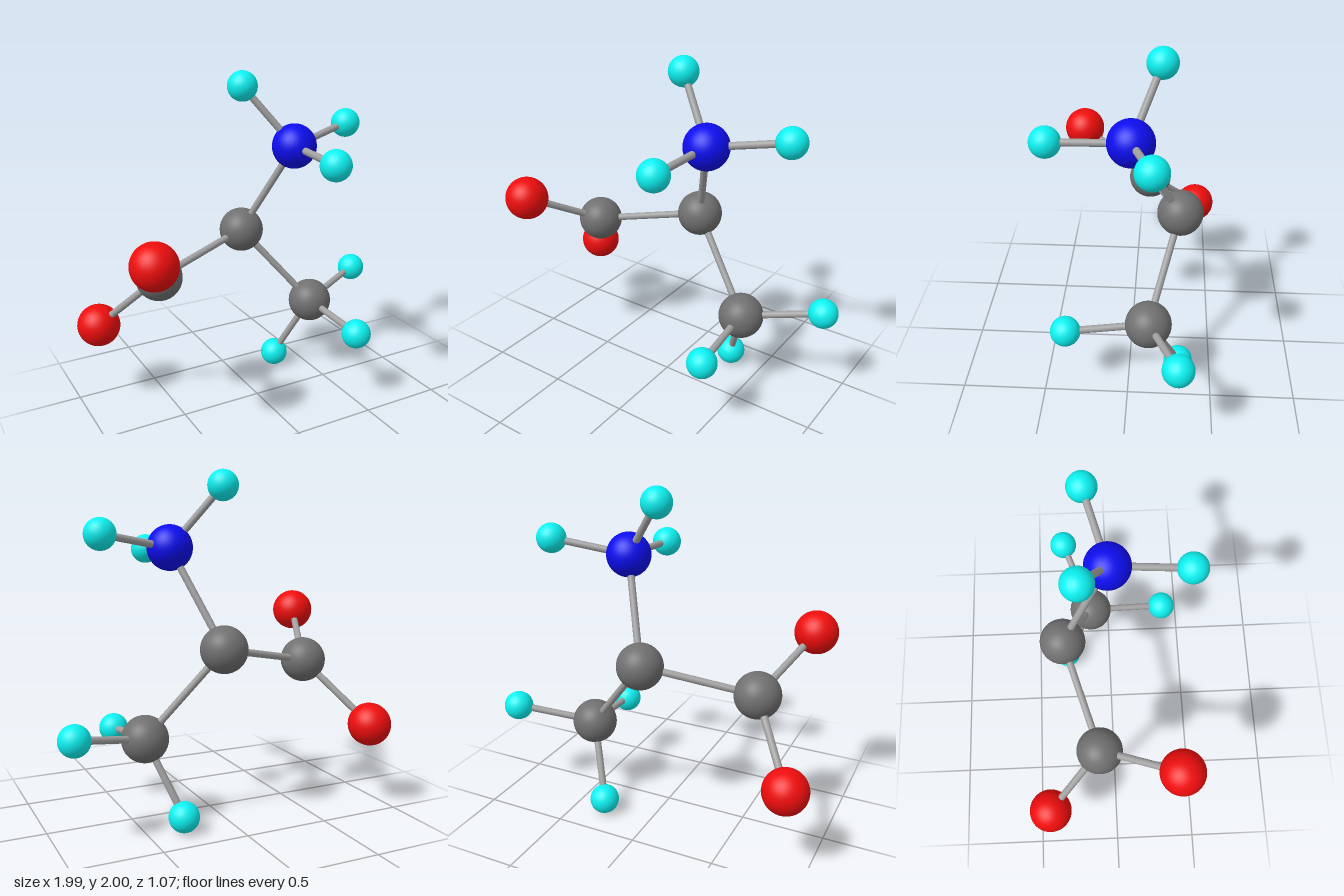
import * as THREE from 'three';

// Atom kinds: radius and colour
const KINDS = {
  carbon: { radius: 0.135, color: 0x707070 },
  nitrogen: { radius: 0.131, color: 0x0d0dee },
  oxygen: { radius: 0.128, color: 0xee0d0d },
  hydrogen: { radius: 0.088, color: 0x0df0f0 },
};

// name: [kind, position, atom it is bonded to]
const ATOMS = {
  centralCarbon: ['carbon', [0.045, 1.015, -0.287], null],
  nitrogen: ['nitrogen', [0.253, 1.572, -0.01], 'centralCarbon'],
  carboxylCarbon: ['carbon', [-0.59, 0.883, -0.093], 'centralCarbon'],
  methylCarbon: ['carbon', [0.457, 0.511, -0.12], 'centralCarbon'],
  upperOxygen: ['oxygen', [-0.783, 1.138, 0.355], 'carboxylCarbon'],
  lowerOxygen: ['oxygen', [-0.87, 0.516, -0.408], 'carboxylCarbon'],
  amineHydrogenTop: ['hydrogen', [-0.005, 1.916, -0.165], 'nitrogen'],
  amineHydrogenSide: ['hydrogen', [0.697, 1.651, -0.133], 'nitrogen'],
  amineHydrogenFront: ['hydrogen', [0.231, 1.555, 0.449], 'nitrogen'],
  methylHydrogenSide: ['hydrogen', [0.905, 0.599, -0.291], 'methylCarbon'],
  methylHydrogenFront: ['hydrogen', [0.487, 0.463, 0.359], 'methylCarbon'],
  methylHydrogenBottom: ['hydrogen', [0.298, 0.09, -0.302], 'methylCarbon'],
};

const BOND_RADIUS = 0.021;
const UP = new THREE.Vector3(0, 1, 0);

// Cylinder running between two points
function makeBond(from, to, material) {
  const along = to.clone().sub(from);
  const geometry = new THREE.CylinderGeometry(BOND_RADIUS, BOND_RADIUS, along.length(), 24);
  const bond = new THREE.Mesh(geometry, material);
  bond.position.copy(from).addScaledVector(along, 0.5);
  bond.quaternion.setFromUnitVectors(UP, along.normalize());
  return bond;
}

export function createModel() {
  const model = new THREE.Group();
  model.name = 'molecule';

  // One shared sphere and material per kind of atom
  const looks = {};
  for (const [kind, { radius, color }] of Object.entries(KINDS)) {
    looks[kind] = {
      geometry: new THREE.SphereGeometry(radius, 48, 32),
      material: new THREE.MeshStandardMaterial({ color }),
    };
  }
  const bondMaterial = new THREE.MeshStandardMaterial({ color: 0xa0a0a0 });

  for (const [name, [kind, position, parent]] of Object.entries(ATOMS)) {
    // Atom
    const atom = new THREE.Mesh(looks[kind].geometry, looks[kind].material);
    atom.name = name;
    atom.position.set(...position);
    model.add(atom);

    // Bond to its neighbour
    if (parent) {
      const start = new THREE.Vector3(...ATOMS[parent][1]);
      const bond = makeBond(start, atom.position, bondMaterial);
      bond.name = `${name}Bond`;
      model.add(bond);
    }
  }
  return model;
}
